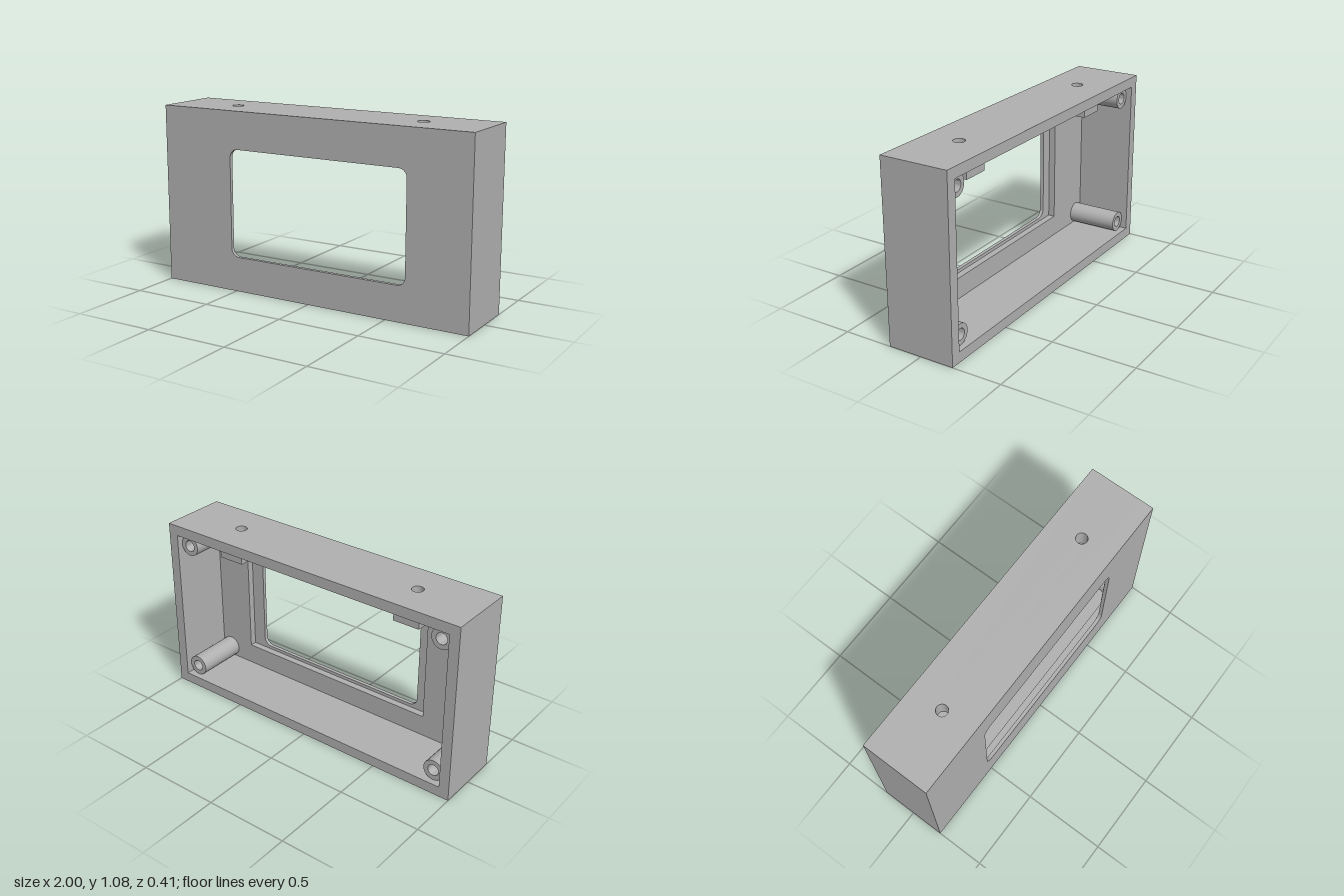
import * as THREE from 'three';
import { toCreasedNormals } from 'three/addons/utils/BufferGeometryUtils.js';

const W = 1, H = 1.08, D = 0.205;      // half width, height, half depth
const T = 0.0625;                      // wall thickness
const PLATE = D - T, LIP = 0.183;      // back of front plate, floor of the recess

// Rectangle outline, optionally with rounded corners
function rect(path, x0, y0, x1, y1, r = 0) {
  if (!r) {
    path.moveTo(x0, y0).lineTo(x1, y0).lineTo(x1, y1).lineTo(x0, y1).closePath();
    return path;
  }
  path.absarc(x1 - r, y0 + r, r, -Math.PI / 2, 0);
  path.absarc(x1 - r, y1 - r, r, 0, Math.PI / 2);
  path.absarc(x0 + r, y1 - r, r, Math.PI / 2, Math.PI);
  path.absarc(x0 + r, y0 + r, r, Math.PI, Math.PI * 1.5);
  path.closePath();
  return path;
}

const circle = (path, x, y, r) => path.absarc(x, y, r, 0, Math.PI * 2);

function extrude(shape, from, to) {
  const g = new THREE.ExtrudeGeometry(shape, { depth: to - from, bevelEnabled: false, curveSegments: 16 });
  g.translate(0, 0, from);
  return toCreasedNormals(g, 0.6);
}

export function createModel() {
  const group = new THREE.Group();
  const grey = new THREE.MeshStandardMaterial({ color: 0xb0b0b0 });
  grey.name = 'grey';
  const add = (name, geometry) => {
    const mesh = new THREE.Mesh(geometry, grey);
    mesh.name = name;
    group.add(mesh);
    return mesh;
  };

  // Front face with rounded window
  const face = rect(new THREE.Shape(), -W, 0, W, H);
  face.holes.push(rect(new THREE.Path(), -0.53, 0.21, 0.62, 0.855, 0.05));
  add('frontFace', extrude(face, LIP, D));

  // Layer behind it with the larger rectangular display recess
  const recess = rect(new THREE.Shape(), -W, 0, W, H);
  recess.holes.push(rect(new THREE.Path(), -0.6, 0.19, 0.704, 0.87));
  add('displayRecess', extrude(recess, PLATE, LIP));

  // Side walls and floor
  const walls = new THREE.Shape();
  walls.moveTo(-W, 0).lineTo(W, 0).lineTo(W, H - T).lineTo(W - T, H - T)
    .lineTo(W - T, T).lineTo(-W + T, T).lineTo(-W + T, H - T).lineTo(-W, H - T).closePath();
  add('sideWallsAndFloor', extrude(walls, -D, PLATE));

  // Top wall with two screw holes
  const holeX = 0.613, holeR = 0.034;
  const top = rect(new THREE.Shape(), -W, -PLATE, W, D);
  for (const s of [-1, 1]) top.holes.push(circle(new THREE.Path(), s * holeX, 0, holeR));
  add('topWall', extrude(top, H - T, H).rotateX(-Math.PI / 2));

  // Blocks under the top wall carrying the blind holes
  const blockBottom = 0.91, holeBottom = 0.955;
  for (const s of [-1, 1]) {
    const block = rect(new THREE.Shape(), s * holeX - 0.081, -0.1, s * holeX + 0.081, 0.1);
    block.holes.push(circle(new THREE.Path(), s * holeX, 0, holeR));
    add('screwBlock', extrude(block, holeBottom, H - T).rotateX(-Math.PI / 2));
    const base = new THREE.BoxGeometry(0.162, holeBottom - blockBottom, 0.2);
    add('screwBlockBase', base).position.set(s * holeX, (holeBottom + blockBottom) / 2, 0);
  }

  // Hollow corner posts
  const post = circle(new THREE.Shape(), 0, 0, 0.0625);
  post.holes.push(circle(new THREE.Path(), 0, 0, 0.034));
  const postGeometry = extrude(post, -0.17, PLATE);
  for (const x of [-0.875, 0.875])
    for (const y of [0.126, H - 0.126]) add('cornerPost', postGeometry).position.set(x, y, 0);

  return group;
}
